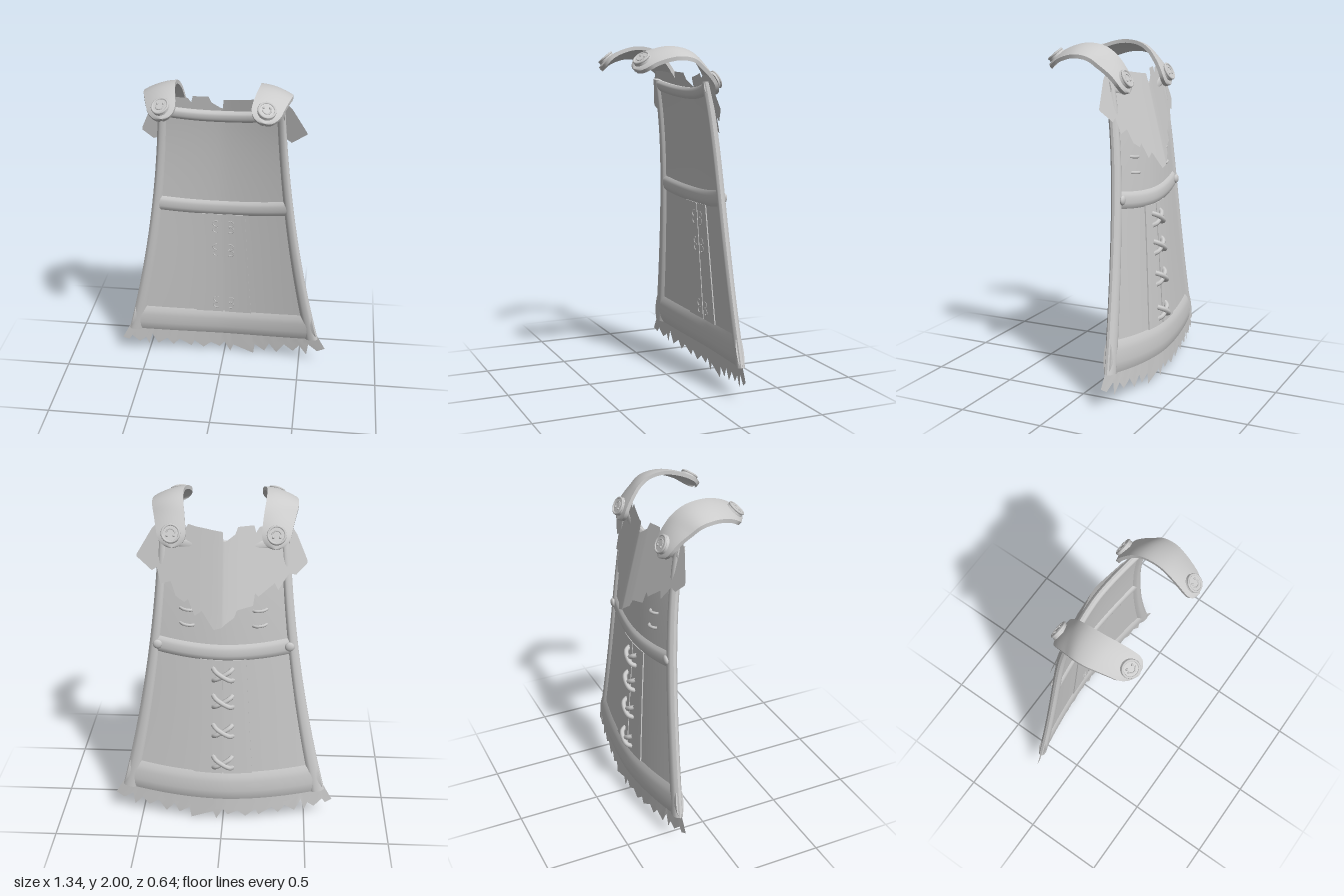
import * as THREE from 'three';

const mat = new THREE.MeshStandardMaterial({ color: 0xcccccc, side: THREE.DoubleSide });
const V = (x, y, z) => new THREE.Vector3(x, y, z);

// Cape surface: t runs -1..1 across the width, v is the height at the side edges
const halfWidth = (v) => { const u = (v - 0.2) / 1.6; return 0.62 - 0.41 * u + 0.16 * u * u; };
function cape(t, v, off = 0) {
  const u = Math.max(0, (v - 0.2) / 1.6), k = Math.min(1.1, Math.abs(t)) ** 1.7;
  const edge = -0.205 + 0.07 * u + 0.045 * u ** 6;
  const mid = -0.28 + 0.11 * u + 0.025 * u ** 6;
  return V(t * halfWidth(v), v - 0.045 * (1 - t * t), mid + (edge - mid) * k + off);
}
const onCape = (x, y, off) => {
  const v = y + 0.045;
  return cape(x / halfWidth(v), v, off);
};

function add(parent, name, geometry) {
  const m = new THREE.Mesh(geometry, mat);
  m.name = name;
  parent.add(m);
  return m;
}

// Move the vertices of a geometry by a rule
function bend(geo, rule) {
  const p = geo.attributes.position;
  for (let i = 0; i < p.count; i++) {
    const q = rule(p.getX(i), p.getY(i), p.getZ(i));
    p.setXYZ(i, q.x, q.y, q.z);
  }
  geo.computeVertexNormals();
  return geo;
}

// Padded leather piece lying in the cape surface; round = 'x' or 'y' gives a rolled section
function slab(t0, t1, v0, v1, thick, round, off = 0) {
  const nx = Math.max(6, Math.ceil((t1 - t0) * 16)), ny = Math.max(6, Math.ceil((v1 - v0) * 14));
  return bend(new THREE.BoxGeometry(1, 1, 1, nx, ny, 1), (a, b, c) => {
    const r = round === 'x' ? a : round === 'y' ? b : 0;
    const th = thick * (0.3 + 0.7 * Math.sqrt(Math.max(0, 1 - 4 * r * r)));
    return cape(t0 + (a + 0.5) * (t1 - t0), v0 + (b + 0.5) * (v1 - v0), c * th + off);
  });
}

// Thin torn sheet from columns [x, top, bottom]
function ragged(cols, rows, rule) {
  const pos = [], idx = [];
  cols.forEach(([x, top, bot], i) => {
    for (let j = 0; j <= rows; j++) {
      pos.push(...rule(x, top + (bot - top) * j / rows, j / rows).toArray());
      if (i && j) {
        const d = i * (rows + 1) + j, b = d - rows - 1;
        idx.push(b - 1, b, d, b - 1, d, d - 1);
      }
    }
  });
  const g = new THREE.BufferGeometry();
  g.setAttribute('position', new THREE.Float32BufferAttribute(pos, 3));
  g.setIndex(idx);
  g.computeVertexNormals();
  return g;
}

const tube = (pts, r, n = 14) => new THREE.TubeGeometry(new THREE.CatmullRomCurve3(pts), n, r, 7);

// Round strap button with a raised rim, two studs and a curved ridge
function button(parent, name, pos, normal, r) {
  const g = new THREE.Group();
  g.name = name;
  add(g, 'buttonDisc', new THREE.CylinderGeometry(r * 0.9, r, 0.02, 24).rotateX(Math.PI / 2));
  add(g, 'buttonRim', new THREE.TorusGeometry(r * 0.88, 0.007, 8, 24)).position.z = 0.008;
  for (const s of [-1, 1])
    add(g, 'buttonStud', new THREE.SphereGeometry(r * 0.14, 8, 6)).position.set(s * r * 0.35, r * 0.25, 0.01);
  add(g, 'buttonRidge', new THREE.TorusGeometry(r * 0.45, 0.004, 6, 12, Math.PI).rotateZ(Math.PI)).position.z = 0.01;
  g.position.copy(pos);
  g.quaternion.setFromUnitVectors(V(0, 0, 1), normal.normalize());
  parent.add(g);
}

// Shoulder strap: flat band with rounded ends swept from the back to the front
function strap(parent, s) {
  const path = new THREE.CatmullRomCurve3([
    V(0.29, 1.735, -0.175), V(0.295, 1.81, -0.15), V(0.31, 1.895, -0.085), V(0.325, 1.955, -0.01),
    V(0.325, 1.972, 0.08), V(0.31, 1.96, 0.16), V(0.29, 1.925, 0.245), V(0.28, 1.87, 0.305)]);
  const frame = (f) => {
    const p = path.getPointAt(f), d = path.getTangentAt(f);
    const n = V(0, d.z, -d.y).normalize();
    p.x *= s;
    return { p, n };
  };
  const g = new THREE.Group();
  g.name = s > 0 ? 'leftStrap' : 'rightStrap';
  add(g, 'strapBand', bend(new THREE.BoxGeometry(1, 1, 1, 8, 1, 48), (a, b, c) => {
    const f = 0.5 - 0.5 * Math.cos((c + 0.5) * Math.PI);
    const { p, n } = frame(f);
    const e = Math.max(0, 1 - Math.min(f, 1 - f) / 0.13);
    const w = (0.155 + 0.025 * Math.sin(f * Math.PI)) * Math.max(0.12, Math.sqrt(1 - e * e));
    const tilt = -s * 0.32 * a * w * Math.min(1, f * 3);
    const crown = 0.012 * (1 - 4 * a * a);
    p.x += a * w;
    return p.addScaledVector(n, tilt + crown + b * 0.022);
  }));
  [[0.12, 'backButton', 0.055], [0.89, 'frontButton', 0.052]].forEach(([f, name, r]) => {
    const { p, n } = frame(f);
    const facing = n.clone();
    if (f > 0.5) facing.x += s * 0.25;
    button(g, name, p.addScaledVector(n, 0.027), facing, r);
  });
  parent.add(g);
}

export function createModel() {
  const model = new THREE.Group();
  model.name = 'cape';

  // Main panel, rolled hems and waist band
  add(model, 'mainPanel', slab(-0.97, 0.97, 0.22, 1.79, 0.016));
  add(model, 'topHem', slab(-0.99, 0.99, 1.745, 1.815, 0.045, 'y'));
  add(model, 'bottomHem', slab(-0.99, 0.99, 0.2, 0.385, 0.048, 'y'));
  add(model, 'waistBand', slab(-0.93, 0.93, 1.11, 1.21, 0.046, 'y'));
  for (const s of [-1, 1]) {
    add(model, 'sideHem', slab(s > 0 ? 0.87 : -1, s > 0 ? 1 : -0.87, 0.2, 1.815, 0.05, 'x'));
    const rivet = add(model, 'bandRivet', new THREE.SphereGeometry(0.028, 14, 8));
    rivet.scale.z = 0.5;
    rivet.position.copy(cape(s * 0.89, 1.16, -0.026));
    // Centre strips either side of the laced seam
    add(model, 'centreStrip', slab(s > 0 ? 0.01 : -0.31, s > 0 ? 0.31 : -0.01, 0.38, 1.115, 0.03));
    // Stitches on the upper back
    for (const y of [1.27, 1.36])
      add(model, 'stitch', tube([-0.04, -0.02, 0.02, 0.04].map((d, i) =>
        onCape(s * 0.21 + d, y, i % 3 ? -0.022 : -0.004)), 0.009, 8));
  }

  // Crossed laces on the back, with their curled ends on the front
  for (const y of [0.98, 0.81, 0.62, 0.41]) {
    for (const s of [-1, 1]) {
      add(model, 'lace', tube([-1, -0.7, 0, 0.7, 1].map((k) =>
        onCape(k * 0.058, y + s * k * 0.036, -0.01 - (0.03 + 0.006 * s) * (1 - k ** 4))), 0.015));
      if (y === 0.62) continue;
      for (const h of [-1, 1]) {
        const curl = add(model, 'laceCurl', new THREE.TorusGeometry(0.02, 0.004, 6, 12, 4.2)
          .rotateZ(s > 0 ? -2.1 : 1.04));
        curl.position.copy(onCape(s * 0.045, y + h * 0.022, 0.015));
      }
    }
  }

  // Torn fringe below the hem
  const tips = [[-.67, .12], [-.63, .10], [-.61, .13], [-.56, .08], [-.52, .11], [-.5, .06], [-.48, .14], [-.44, .06],
    [-.38, .1], [-.34, .05], [-.3, .09], [-.22, .04], [-.2, .08], [-.14, .03], [-.09, .07], [-.03, .04], [0, .08],
    [.04, .01], [.06, .06], [.195, .01], [.205, .08], [.27, .04], [.3, .1], [.35, .04], [.4, .11], [.46, .07],
    [.5, .12], [.55, .06], [.56, .14], [.62, .1], [.67, .13]];
  add(model, 'fringe', ragged(tips.map(([x, y]) => [x, 0, y]), 2, (x, y, f) => {
    const top = cape(x / 0.67, 0.225), low = cape(x / 0.62, 0.2, -0.005);
    const bottom = V(x, tips.find((q) => q[0] === x)[1], low.z);
    return top.lerp(bottom, f);
  }));

  // Torn hide draped over the upper back
  const hide = [[-.47, 1.66, 1.64], [-.41, 1.8, 1.58], [-.37, 1.86, 1.59], [-.31, 1.86, 1.5], [-.29, 1.86, 1.54],
    [-.2, 1.85, 1.47], [-.18, 1.82, 1.49], [-.17, 1.86, 1.42], [-.08, 1.855, 1.4], [-.065, 1.815, 1.36],
    [-.01, 1.775, 1.32], [0, 1.775, 1.31], [.005, 1.83, 1.305], [.05, 1.835, 1.29], [.12, 1.845, 1.39],
    [.16, 1.85, 1.36], [.2, 1.86, 1.45], [.22, 1.83, 1.43], [.27, 1.85, 1.46], [.3, 1.85, 1.54], [.36, 1.85, 1.52],
    [.38, 1.85, 1.61], [.41, 1.82, 1.59], [.5, 1.67, 1.66]];
  add(model, 'hideCollar', ragged(hide, 6, (x, y) =>
    V(x, y, -0.17 - 0.25 * (1.83 - y) + 0.2 * Math.sqrt(x * x + 0.0009))));

  for (const s of [-1, 1]) strap(model, s);
  return model;
}
